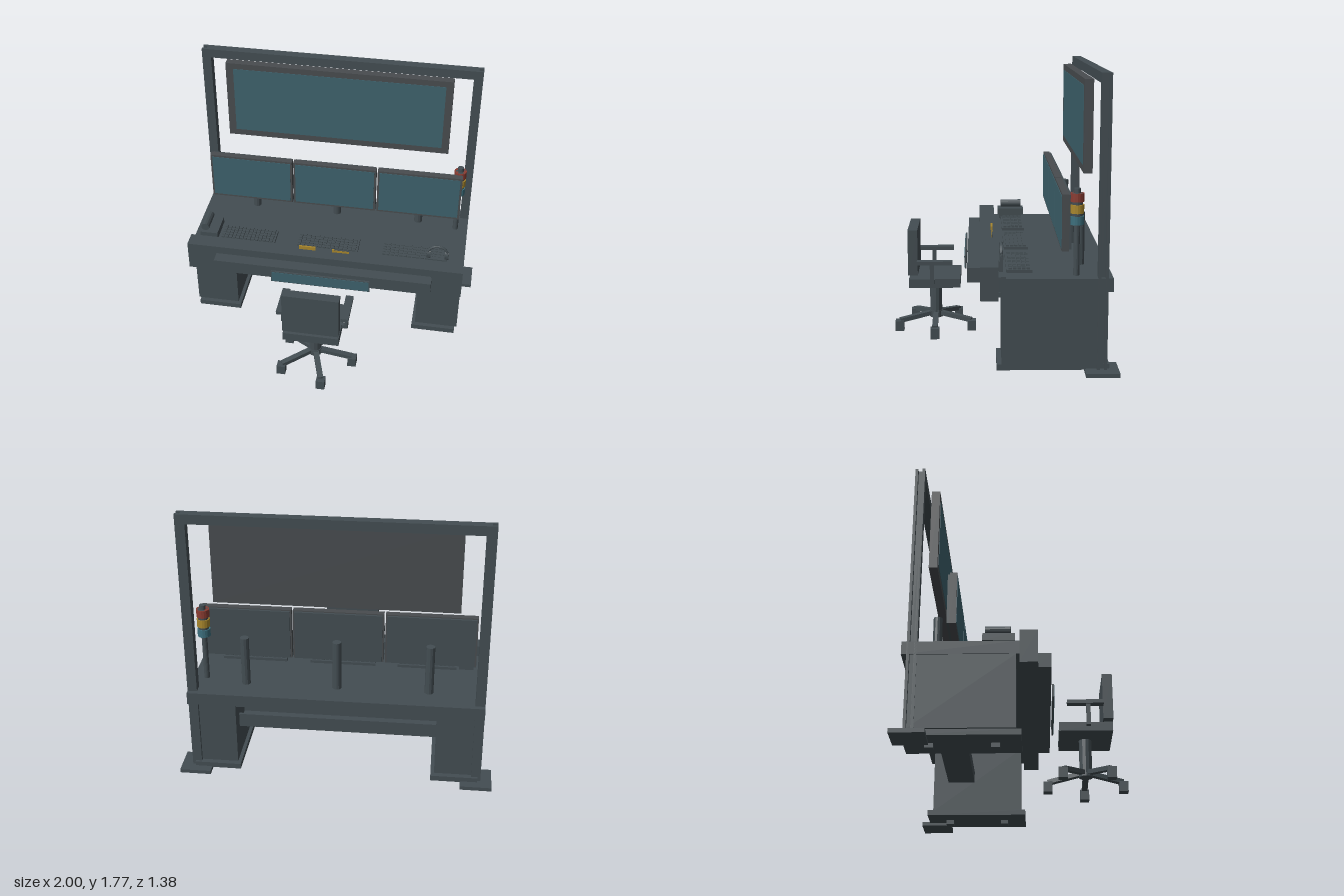
import * as THREE from 'three';

const mat = (name, color) => {
  const m = new THREE.MeshStandardMaterial({ color, flatShading: true });
  m.name = name;
  return m;
};

export function createModel() {
  const body = mat('slate body', 0x434d52);
  const bezel = mat('grey bezel', 0x484c4f);
  const glass = mat('teal glass', 0x3e626d);
  const red = mat('signal red', 0x8a3c32);
  const amber = mat('signal amber', 0xa8862c);
  const blue = mat('signal teal', 0x3c6f7d);

  const model = new THREE.Group();
  model.name = 'controlDesk';
  const group = (name) => {
    const g = new THREE.Group();
    g.name = name;
    model.add(g);
    return g;
  };
  const add = (parent, name, geo, m, x = 0, y = 0, z = 0) => {
    const mesh = new THREE.Mesh(geo, m);
    mesh.name = name;
    mesh.position.set(x, y, z);
    parent.add(mesh);
    return mesh;
  };
  // Box given by its extents on each axis
  const box = (parent, name, m, x0, x1, y0, y1, z0, z1) =>
    add(parent, name, new THREE.BoxGeometry(x1 - x0, y1 - y0, z1 - z0), m,
      (x0 + x1) / 2, (y0 + y1) / 2, (z0 + z1) / 2);
  // Box mirrored to either side: s is 1 or -1
  const sideBox = (parent, name, m, s, x0, x1, ...rest) =>
    box(parent, name, m, Math.min(s * x0, s * x1), Math.max(s * x0, s * x1), ...rest);
  const rod = (parent, name, m, r, y0, y1, x, z, sides = 12) =>
    add(parent, name, new THREE.CylinderGeometry(r, r, y1 - y0, sides), m, x, (y0 + y1) / 2, z);

  // Desk top, front console and arm rail
  const desk = group('desk');
  box(desk, 'deskTop', body, -0.93, 0.93, 0.51, 0.59, -0.65, 0.02);
  box(desk, 'frontConsole', body, -0.93, 0.93, 0.457, 0.66, 0.02, 0.125);
  box(desk, 'consoleStrip', body, -0.73, 0.93, 0.59, 0.602, -0.025, 0.02);
  box(desk, 'armRail', body, -0.73, 0.73, 0.515, 0.605, 0.125, 0.203);
  box(desk, 'frontPanel', body, -0.335, 0.33, 0.497, 0.582, 0.211, 0.222);
  box(desk, 'frontPanelGlass', glass, -0.33, 0.325, 0.502, 0.577, 0.222, 0.225);

  // Cable tray between the pedestals
  box(desk, 'trayFloor', body, -0.635, 0.635, 0.27, 0.285, -0.5, -0.32);
  box(desk, 'trayBack', body, -0.635, 0.635, 0.285, 0.362, -0.5, -0.485);
  box(desk, 'trayFront', body, -0.635, 0.635, 0.285, 0.345, -0.335, -0.32);

  const frame = group('rearFrame');
  for (const s of [1, -1]) {
    // Pedestal with plinth and glides
    sideBox(desk, 'pedestal', body, s, 0.635, 0.925, 0.065, 0.51, -0.6, 0);
    sideBox(desk, 'plinth', body, s, 0.612, 0.91, 0.03, 0.065, -0.635, 0.03);
    for (const z of [-0.115, -0.49])
      sideBox(desk, 'glide', body, s, 0.735, 0.785, 0.003, 0.03, z - 0.025, z + 0.025);

    // Channel post, open to the outside, on its floor plate
    sideBox(frame, 'floorPlate', body, s, 0.8, 1, 0.012, 0.036, -0.69, -0.49);
    sideBox(frame, 'postWeb', body, s, 0.87, 0.9, 0.036, 1.775, -0.62, -0.56);
    for (const z of [-0.62, -0.577])
      sideBox(frame, 'postFlange', body, s, 0.9, 0.93, 0.036, 1.775, z, z + 0.017);
  }
  box(frame, 'topBeam', body, -0.87, 0.87, 1.715, 1.775, -0.62, -0.56);

  // Large wall display
  const wall = group('wallDisplay');
  box(wall, 'wallCase', bezel, -0.752, 0.75, 1.178, 1.728, -0.535, -0.482);
  box(wall, 'wallGlass', glass, -0.702, 0.702, 1.222, 1.688, -0.482, -0.479);

  // Row of three monitors on round columns
  for (const x of [-0.58, 0, 0.58]) {
    const g = group('monitor');
    box(g, 'monitorCase', bezel, x - 0.285, x + 0.285, 0.738, 1.075, -0.392, -0.35);
    box(g, 'monitorBack', body, x - 0.275, x + 0.275, 0.745, 1.068, -0.406, -0.392);
    box(g, 'monitorGlass', glass, x - 0.272, x + 0.272, 0.752, 1.061, -0.35, -0.347);
    rod(g, 'monitorColumn', body, 0.028, 0.59, 0.915, x, -0.483);
  }

  // Stacked signal lamp
  const lamp = group('signalLamp');
  [['lampPole', body, 0.018, 0.59, 0.89], ['lampCore', body, 0.033, 0.89, 1.08],
    ['tealLamp', blue, 0.041, 0.895, 0.945], ['amberLamp', amber, 0.041, 0.962, 1.013],
    ['redLamp', red, 0.041, 1.03, 1.08], ['lampCap', body, 0.02, 1.08, 1.108],
  ].forEach(([name, m, r, y0, y1]) => rod(lamp, name, m, r, y0, y1, 0.845, -0.438, 16));

  // Keyboards with rows of keys
  for (const [x0, x1] of [[-0.75, -0.365], [-0.22, 0.21], [0.365, 0.79]]) {
    const g = group('keyboard');
    box(g, 'keyboardBase', body, x0, x1, 0.59, 0.608, -0.185, -0.03);
    const cols = 14, rows = 5, w = (x1 - x0 - 0.02) / cols, d = 0.135 / rows;
    const key = new THREE.BoxGeometry(w * 0.75, 0.01, d * 0.75);
    for (let r = 0; r < rows; r++)
      for (let c = 0; c < cols; c++)
        add(g, 'key', key, body, x0 + 0.01 + w * (c + 0.5), 0.613, -0.175 + d * (r + 0.5));
  }

  // Desk phone
  const phone = group('phone');
  box(phone, 'phoneFoot', body, -0.86, -0.765, 0.59, 0.622, -0.175, -0.02);
  box(phone, 'phoneBase', body, -0.875, -0.755, 0.622, 0.667, -0.195, -0.008);
  const handset = rod(phone, 'handset', body, 0.028, 0, 0.148, -0.845, -0.106);
  handset.position.y = 0.692;
  handset.rotation.x = Math.PI / 2;

  // Headset
  const headset = group('headset');
  add(headset, 'headband', new THREE.TorusGeometry(0.068, 0.008, 8, 24, Math.PI), body, 0.752, 0.695, 0);
  for (const s of [1, -1]) {
    const cup = rod(headset, 'earCup', body, 0.03, 0, 0.026, 0.752 + s * 0.06, 0);
    cup.position.y = 0.692;
    cup.rotation.z = Math.PI / 2;
    cup.scale.z = 0.4;
  }
  box(headset, 'headsetStand', body, 0.69, 0.815, 0.59, 0.665, -0.01, 0.015);

  // Small markers on the console
  const markers = group('markers');
  box(markers, 'amberMarker', amber, -0.175, -0.062, 0.66, 0.684, 0.04, 0.052);
  box(markers, 'darkMarker', body, 0.065, 0.165, 0.66, 0.68, 0.04, 0.05);
  box(markers, 'markerTip', amber, 0.05, 0.065, 0.66, 0.682, 0.04, 0.052);
  box(markers, 'markerFace', amber, 0.065, 0.165, 0.662, 0.678, 0.05, 0.052);

  // Swivel chair
  const chair = group('chair');
  const cz = 0.42;
  box(chair, 'seat', body, -0.185, 0.183, 0.33, 0.388, 0.253, 0.588);
  box(chair, 'backrest', body, -0.185, 0.183, 0.413, 0.715, 0.53, 0.593);
  rod(chair, 'chairColumn', body, 0.04, 0.1, 0.33, 0, cz);
  rod(chair, 'chairHub', body, 0.045, 0.085, 0.13, 0, cz);
  for (const s of [1, -1]) {
    sideBox(chair, 'armPad', body, s, 0.187, 0.237, 0.495, 0.519, 0.303, 0.533);
    sideBox(chair, 'armPost', body, s, 0.2, 0.222, 0.36, 0.495, 0.423, 0.45);
    sideBox(chair, 'armBracket', body, s, 0.17, 0.222, 0.36, 0.385, 0.423, 0.45);
  }
  for (let i = 0; i < 5; i++) {
    const a = (i * 2 * Math.PI) / 5;
    const spoke = new THREE.Group();
    spoke.name = 'chairSpoke';
    spoke.position.set(0, 0.115, cz);
    spoke.rotation.y = -a;
    chair.add(spoke);
    add(spoke, 'spokeBar', new THREE.BoxGeometry(0.25, 0.028, 0.036), body, 0.125, -0.017, 0).rotation.z = -0.15;
    add(chair, 'caster', new THREE.BoxGeometry(0.057, 0.068, 0.057), body,
      0.252 * Math.cos(a), 0.046, cz + 0.252 * Math.sin(a));
  }

  return model;
}
